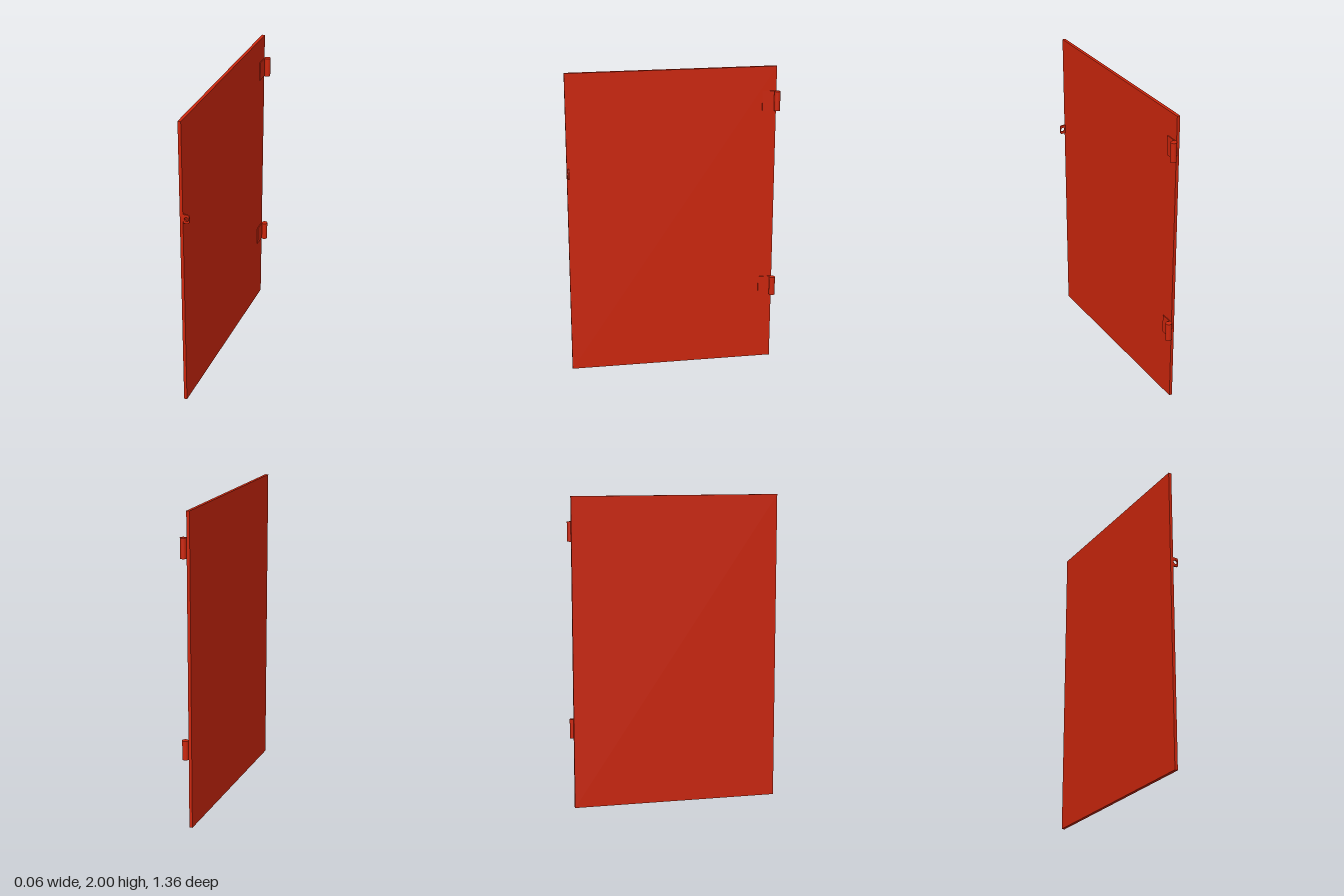
import * as THREE from 'three';

export function createModel() {
  const group = new THREE.Group();
  const red = new THREE.MeshStandardMaterial({ color: 0xcc260d });
  const add = (name, geometry, x, y, z, parent = group) => {
    const mesh = new THREE.Mesh(geometry, red);
    mesh.name = name;
    mesh.position.set(x, y, z);
    parent.add(mesh);
    return mesh;
  };

  // Door sheet, standing in the YZ plane
  add('doorPanel', new THREE.BoxGeometry(0.02, 2, 1.341), -0.022, 1, 0.0105);

  // Hinges: a barrel at the rear edge with a thin leaf on the sheet
  for (const y of [0.518, 1.78]) {
    const hinge = new THREE.Group();
    hinge.name = 'hinge';
    hinge.position.y = y;
    add('hingeBarrel', new THREE.CylinderGeometry(0.0195, 0.0195, 0.125, 24), 0.0085, 0, -0.6615, hinge);
    add('hingeLeaf', new THREE.BoxGeometry(0.005, 0.125, 0.09), -0.0095, 0, -0.615, hinge);
    group.add(hinge);
  }

  // Padlock eye: rounded tab with a hole at the front edge
  const tab = new THREE.Shape();
  tab.moveTo(-0.02, -0.03);
  tab.lineTo(0.005, -0.03);
  tab.quadraticCurveTo(0.019, -0.03, 0.019, -0.012);
  tab.lineTo(0.019, 0.012);
  tab.quadraticCurveTo(0.019, 0.03, 0.005, 0.03);
  tab.lineTo(-0.02, 0.03);
  tab.closePath();
  const hole = new THREE.Path();
  hole.absarc(0, 0, 0.014, 0, Math.PI * 2, true);
  tab.holes.push(hole);
  add('lockEye', new THREE.ExtrudeGeometry(tab, { depth: 0.009, bevelEnabled: false, curveSegments: 16 }), 0.008, 1.361, 0.668);

  return group;
}
